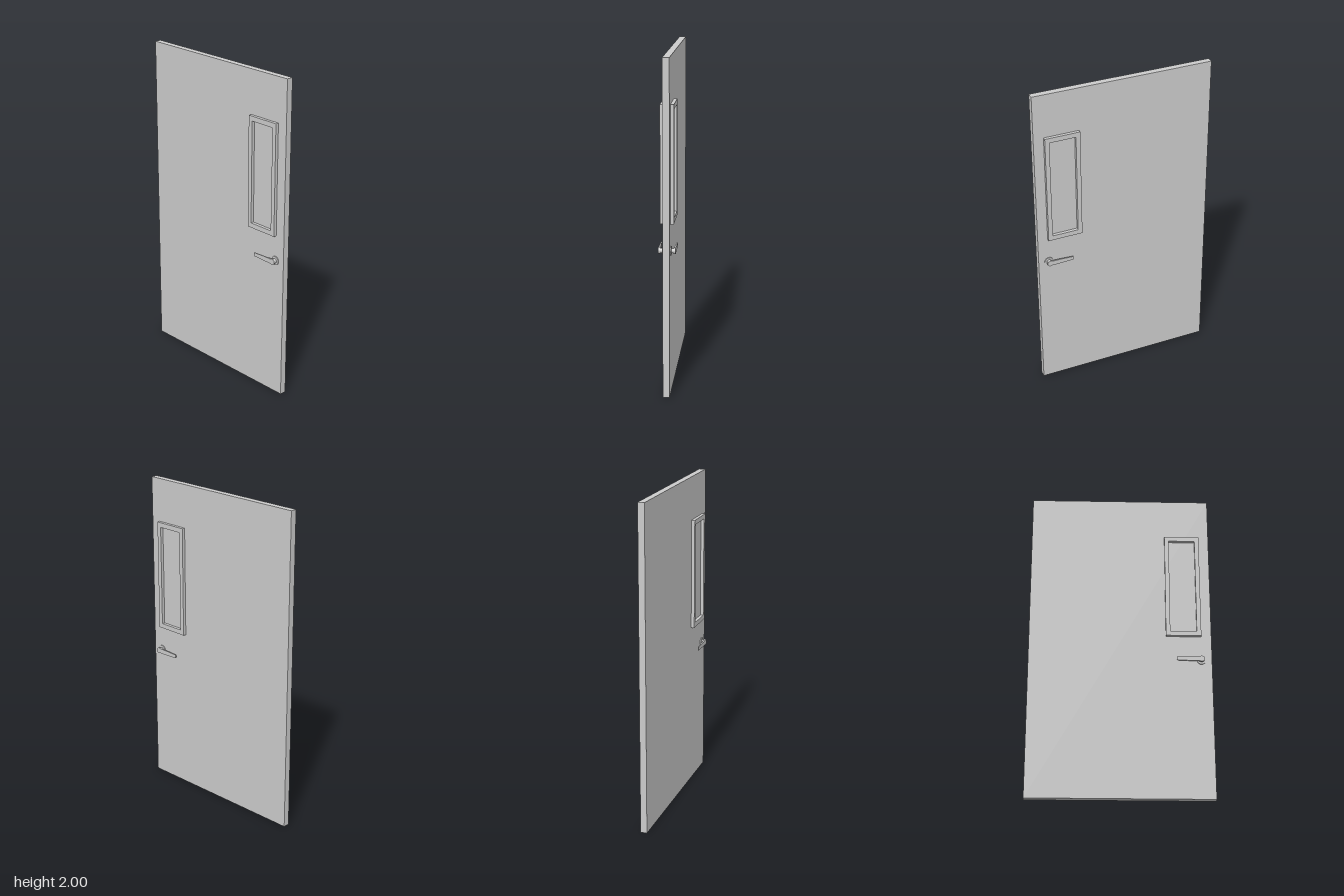
import * as THREE from 'three';

const material = new THREE.MeshStandardMaterial({ color: 0xcccccc });

function addMesh(parent, name, geometry, x = 0, y = 0, z = 0) {
  const mesh = new THREE.Mesh(geometry, material);
  mesh.name = name;
  mesh.position.set(x, y, z);
  parent.add(mesh);
  return mesh;
}

function rectangle(path, w, h) {
  path.moveTo(-w / 2, -h / 2);
  path.lineTo(w / 2, -h / 2);
  path.lineTo(w / 2, h / 2);
  path.lineTo(-w / 2, h / 2);
  path.closePath();
  return path;
}

// Raised window trim, open in the middle
function trimGeometry() {
  const shape = rectangle(new THREE.Shape(), 0.217, 0.692);
  shape.holes.push(rectangle(new THREE.Path(), 0.163, 0.632));
  return new THREE.ExtrudeGeometry(shape, { depth: 0.02, bevelEnabled: false });
}

// Tapered lever with a round hub at the origin; the arm thickens toward the hub
function leverGeometry() {
  const shape = new THREE.Shape();
  shape.moveTo(-0.149, -0.011);
  shape.lineTo(-0.06, -0.0145);
  shape.lineTo(-0.012, -0.0145);
  shape.absarc(0, 0, 0.0185, -2.26, 2.26, false);
  shape.lineTo(-0.012, 0.0145);
  shape.lineTo(-0.06, 0.0145);
  shape.lineTo(-0.149, 0.011);
  shape.quadraticCurveTo(-0.153, 0, -0.149, -0.011);
  const geometry = new THREE.ExtrudeGeometry(shape, { depth: 0.006, bevelEnabled: false, curveSegments: 20 });
  const pos = geometry.attributes.position;
  for (let i = 0; i < pos.count; i++) {
    if (pos.getZ(i) < 0.003 && pos.getX(i) > -0.03) pos.setZ(i, -0.005);
  }
  geometry.computeVertexNormals();
  return geometry;
}

function handle(name) {
  const group = new THREE.Group();
  group.name = name;
  const disc = (part, r, z0, z1) => {
    const geometry = new THREE.CylinderGeometry(r, r, z1 - z0, 28).rotateX(Math.PI / 2);
    addMesh(group, part, geometry, 0, 0, (z0 + z1) / 2);
  };
  disc('rosette', 0.027, 0.018, 0.026);
  disc('neck', 0.014, 0.025, 0.042);
  addMesh(group, 'lever', leverGeometry(), 0, 0, 0.0445);
  group.position.set(0.495, 0.88, 0);
  return group;
}

export function createModel() {
  const door = new THREE.Group();
  door.name = 'door';
  addMesh(door, 'slab', new THREE.BoxGeometry(1.12, 2, 0.04), 0, 1, 0);

  // Matching trim and handle on both faces
  addMesh(door, 'frontWindowTrim', trimGeometry(), 0.389, 1.384, 0.02);
  addMesh(door, 'backWindowTrim', trimGeometry(), 0.389, 1.384, -0.04);
  const back = handle('backHandle');
  back.rotation.x = Math.PI;
  door.add(handle('frontHandle'), back);
  return door;
}
